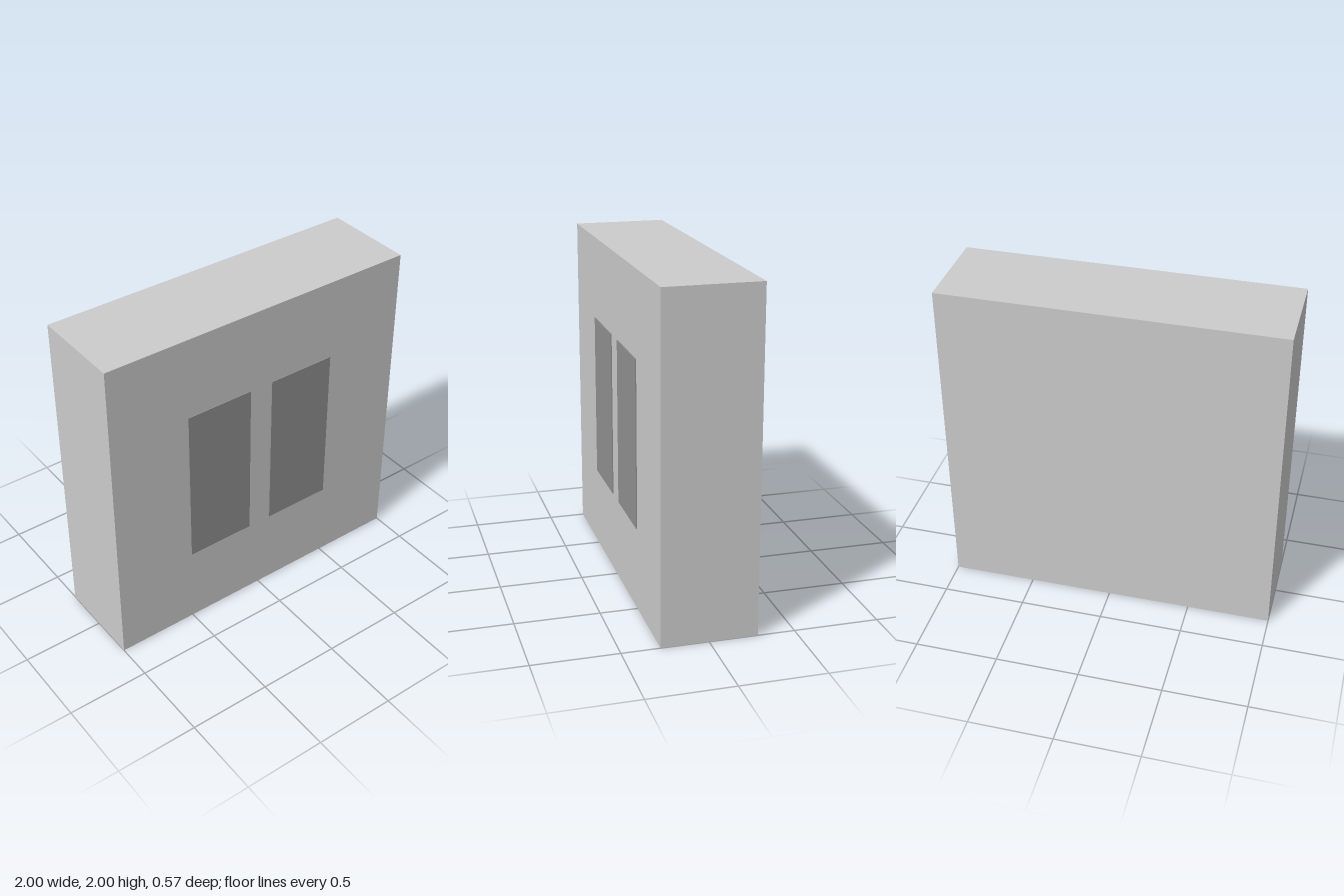
import * as THREE from 'three';

export function createModel() {
  const model = new THREE.Group();
  model.name = 'panelledBlock';

  const bodyMaterial = new THREE.MeshStandardMaterial({ color: 0xcccccc });
  const panelMaterial = new THREE.MeshStandardMaterial({ color: 0x919191 });

  const back = -0.283, face = 0.277, front = 0.283;

  // Adds a box spanning z0..z1, centred on (x, y)
  function addBox(name, width, height, x, y, z0, z1, material) {
    const mesh = new THREE.Mesh(new THREE.BoxGeometry(width, height, z1 - z0), material);
    mesh.name = name;
    mesh.position.set(x, y, (z0 + z1) / 2);
    model.add(mesh);
  }

  // Square slab
  addBox('body', 2, 2, 0, 1, back, face, bodyMaterial);

  // Pair of thin raised panels on the front face
  for (const [name, side] of [['leftPanel', 1], ['rightPanel', -1]]) {
    addBox(name, 0.425, 1, side * 0.2875, 1, face, front, panelMaterial);
  }

  return model;
}
